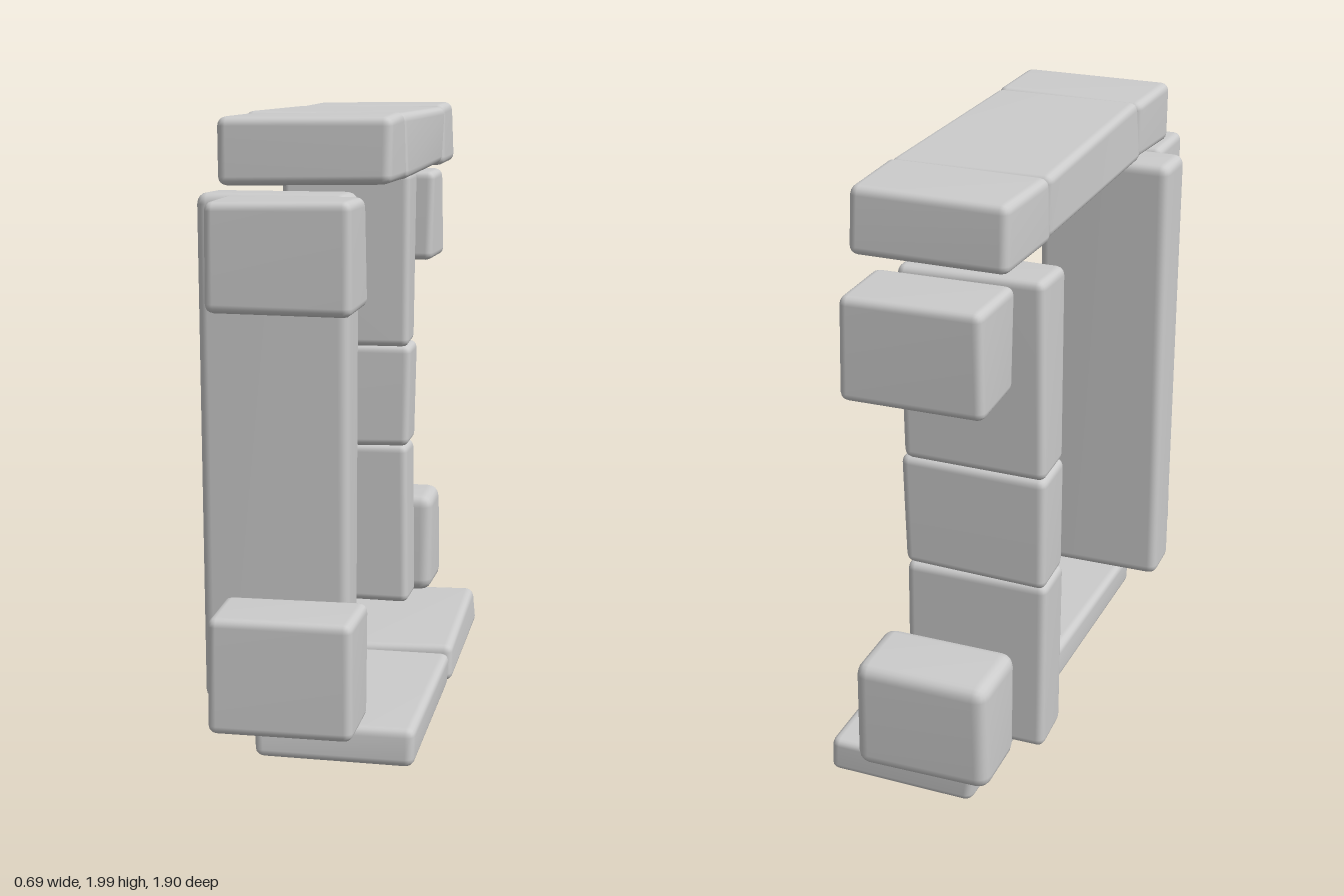
import * as THREE from 'three';
import { RoundedBoxGeometry } from 'three/addons/geometries/RoundedBoxGeometry.js';
import { mergeVertices } from 'three/addons/utils/BufferGeometryUtils.js';

const material = new THREE.MeshStandardMaterial({ color: 0xcccccc });

// Small seeded generator, so every stone is worn differently but repeatably
function seeded(seed) {
  let s = seed * 7919 + 17;
  return () => (s = (s * 16807) % 2147483647) / 2147483647;
}

// A worn stone between two corners: a rounded box whose eight corners are pulled inwards a little
function stone(name, [x0, x1], [y0, y1], [z0, z1], seed, radius = 0.028, wear = 0.016) {
  const size = new THREE.Vector3(x1 - x0, y1 - y0, z1 - z0);
  const geo = new RoundedBoxGeometry(size.x, size.y, size.z, 2, radius);
  geo.deleteAttribute('normal');
  geo.deleteAttribute('uv');
  const merged = mergeVertices(geo, 1e-4);
  const rand = seeded(seed);
  for (let i = 0; i < 5; i++) rand();
  const pulls = Array.from({ length: 8 }, () =>
    new THREE.Vector3(rand() * wear, rand() * wear * 0.7, rand() * wear * 0.7));
  const p = merged.attributes.position;
  const v = new THREE.Vector3(), shift = new THREE.Vector3();
  for (let i = 0; i < p.count; i++) {
    v.fromBufferAttribute(p, i);
    const t = [v.x / size.x + 0.5, v.y / size.y + 0.5, v.z / size.z + 0.5];
    shift.set(0, 0, 0);
    pulls.forEach((pull, c) => {
      const bit = [c & 1, (c >> 1) & 1, (c >> 2) & 1];
      const w = bit.reduce((a, b, k) => a * (b ? t[k] : 1 - t[k]), 1);
      shift.x += w * pull.x * (bit[0] ? -1 : 1);
      shift.y += w * pull.y * (bit[1] ? -1 : 1);
      shift.z += w * pull.z * (bit[2] ? -1 : 1);
    });
    v.add(shift);
    p.setXYZ(i, v.x + (x0 + x1) / 2, v.y + (y0 + y1) / 2, v.z + (z0 + z1) / 2);
  }
  merged.computeVertexNormals();
  const mesh = new THREE.Mesh(merged, material);
  mesh.name = name;
  return mesh;
}

export function createModel() {
  const model = new THREE.Group();
  model.name = 'stoneWindowFrame';

  // Lintel: a long stone between two end stones
  const lintel = new THREE.Group();
  lintel.name = 'lintel';
  const lx = [-0.265, 0.265];
  lintel.add(
    stone('lintelMiddle', lx, [1.785, 1.995], [-0.42, 0.44], 1),
    stone('lintelFrontEnd', lx, [1.78, 2], [0.425, 0.745], 2, 0.03, 0.022),
    stone('lintelBackEnd', lx, [1.78, 2], [-0.74, -0.405], 3, 0.03, 0.022));

  // Jambs: one tall stone in front, three stacked stones behind
  const jambs = new THREE.Group();
  jambs.name = 'jambs';
  const jx = [-0.352, 0.132];
  jambs.add(
    stone('frontJamb', jx, [0.165, 1.765], [0.488, 0.682], 4, 0.035),
    stone('backJambLower', jx, [0.165, 0.765], [-0.677, -0.485], 5),
    stone('backJambMiddle', jx, [0.75, 1.135], [-0.677, -0.485], 6),
    stone('backJambUpper', jx, [1.12, 1.765], [-0.68, -0.485], 7));

  // Corner blocks standing out beyond the jambs
  const blocks = new THREE.Group();
  blocks.name = 'cornerBlocks';
  const bx = [-0.265, 0.19];
  blocks.add(
    stone('frontUpperBlock', bx, [1.425, 1.76], [0.68, 0.95], 8),
    stone('frontLowerBlock', bx, [0.16, 0.53], [0.68, 0.95], 9, 0.028, 0.01),
    stone('backUpperBlock', bx, [1.42, 1.757], [-0.95, -0.685], 10),
    stone('backLowerBlock', bx, [0.155, 0.532], [-0.95, -0.685], 11, 0.045, 0.01));

  // Sill: two flat slabs end to end
  const sill = new THREE.Group();
  sill.name = 'sill';
  const sx = [-0.182, 0.345];
  sill.add(
    stone('sillFront', sx, [0.002, 0.138], [-0.07, 0.71], 12, 0.03),
    stone('sillBack', sx, [0.002, 0.147], [-0.845, -0.078], 13, 0.03, 0.026));

  model.add(lintel, jambs, blocks, sill);
  return model;
}
